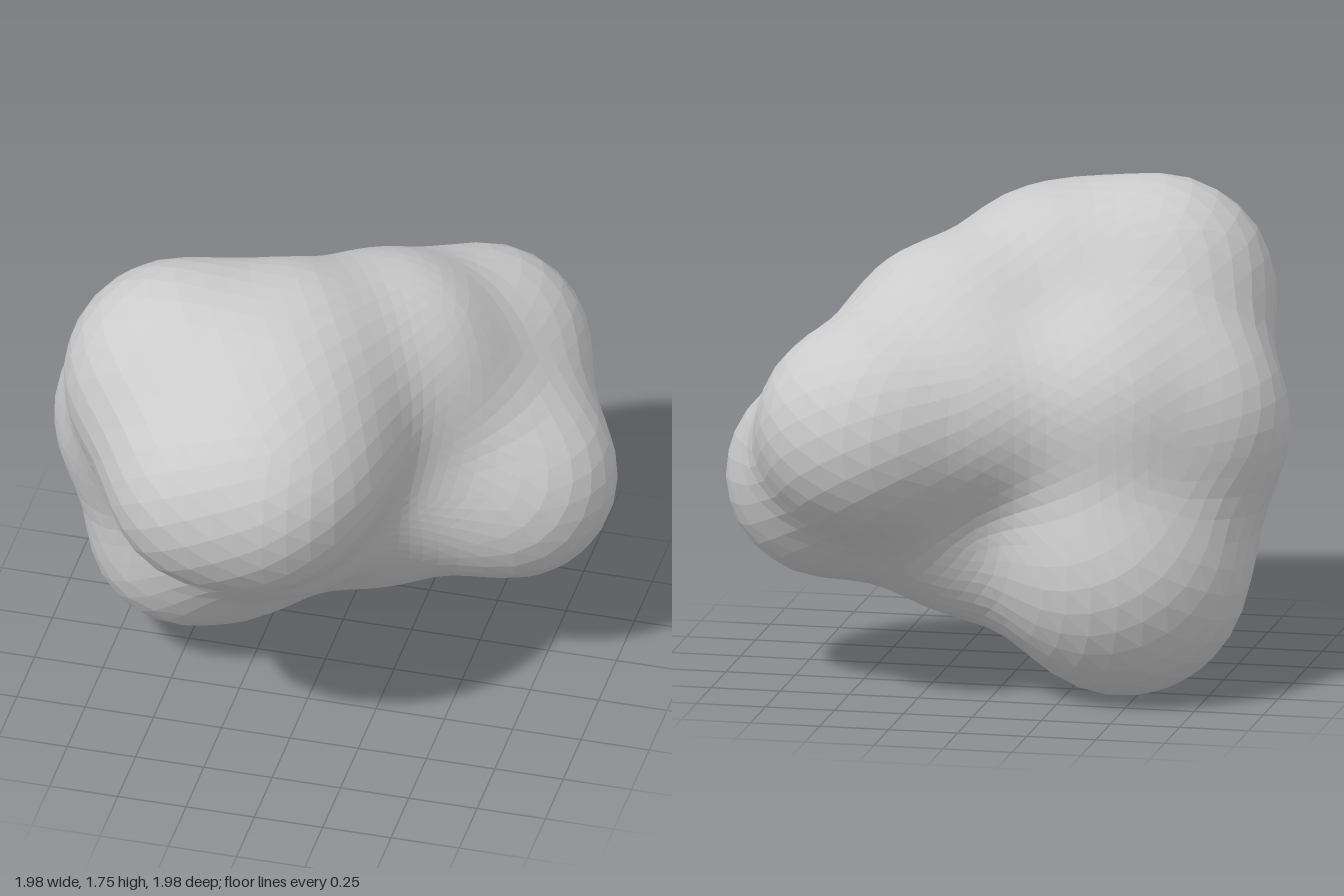
import * as THREE from 'three';

// Lobes of the lump: x, y, z, radius
const LOBES = {
  core: [-0.05, 0.85, -0.05, 0.42],
  noseLeft: [-0.08, 1.14, 0.60, 0.36],
  noseRight: [-0.27, 1.14, 0.60, 0.36],
  front: [-0.17, 1.16, 0.36, 0.48],
  chin: [-0.15, 0.83, 0.20, 0.37],
  crown: [-0.48, 1.33, 0.26, 0.375],
  crownInner: [-0.12, 1.29, 0.11, 0.43],
  ridge: [0.17, 1.16, -0.20, 0.42],
  back: [0.41, 0.99, -0.62, 0.36],
  backWall: [0.08, 1.02, -0.47, 0.36],
  side: [0.61, 0.73, -0.26, 0.35],
  flank: [-0.59, 0.92, -0.06, 0.385],
  rear: [-0.35, 1.00, -0.26, 0.38],
  underside: [0.10, 0.58, -0.25, 0.34],
  foot: [-0.46, 0.42, -0.27, 0.40],
  heel: [-0.42, 0.50, -0.37, 0.37],
  toe: [-0.52, 0.48, 0.01, 0.33],
};

// Tapered links that fill the hollows between neighbouring lobes
const LINKS = [
  'noseLeft noseRight', 'noseLeft front', 'noseRight front', 'noseRight crown',
  'front crown', 'front chin', 'front flank', 'chin core', 'chin toe',
  'crown crownInner', 'crown flank', 'crown rear',
  'crownInner ridge', 'ridge back', 'ridge side',
  'back side', 'back backWall', 'backWall rear', 'back underside',
  'side core', 'side underside', 'underside foot',
  'flank rear', 'flank foot', 'flank toe',
  'rear heel', 'heel foot', 'toe foot', 'core foot',
].map((pair) => {
  const [a, b] = pair.split(' ').map((name) => LOBES[name]);
  const start = new THREE.Vector3(...a);
  const span = new THREE.Vector3(...b).sub(start);
  return { start, span, lengthSq: span.lengthSq(), r0: a[3], r1: b[3] };
});

const SHARPNESS = 16;
// About three links meet in each lobe, so their summed swelling is taken off again
const SWELLING = Math.log(3) / SHARPNESS;

// Smoothly blended distance to all links
const offset = new THREE.Vector3();
function distance(p) {
  let sum = 0;
  for (const { start, span, lengthSq, r0, r1 } of LINKS) {
    offset.subVectors(p, start);
    const h = THREE.MathUtils.clamp(offset.dot(span) / lengthSq, 0, 1);
    const d = offset.addScaledVector(span, -h).length() - THREE.MathUtils.lerp(r0, r1, h);
    sum += Math.exp(-SHARPNESS * d);
  }
  return -Math.log(sum) / SHARPNESS + SWELLING;
}

// Push every point of a faceted ball outwards until it meets the blended surface
function blobGeometry() {
  const geometry = new THREE.IcosahedronGeometry(1, 12);
  const position = geometry.attributes.position;
  const centre = new THREE.Vector3(0, 0.88, -0.1);
  const direction = new THREE.Vector3();
  const point = new THREE.Vector3();
  for (let i = 0; i < position.count; i++) {
    direction.fromBufferAttribute(position, i).normalize();
    let t = 0.1;
    for (let step = 0; step < 60; step++) {
      point.copy(centre).addScaledVector(direction, t);
      t -= distance(point) * 0.8;
    }
    point.copy(centre).addScaledVector(direction, t);
    position.setXYZ(i, point.x, point.y, point.z);
  }

  // Stand the lump on the ground, centred
  geometry.computeBoundingBox();
  const { min, max } = geometry.boundingBox;
  geometry.translate(-(min.x + max.x) / 2, -min.y, -(min.z + max.z) / 2);
  geometry.computeVertexNormals();
  return geometry;
}

export function createModel() {
  const group = new THREE.Group();
  group.name = 'lumpyRock';
  const material = new THREE.MeshStandardMaterial({ color: 0xcccccc, flatShading: true });
  const rock = new THREE.Mesh(blobGeometry(), material);
  rock.name = 'rock';
  group.add(rock);
  return group;
}
